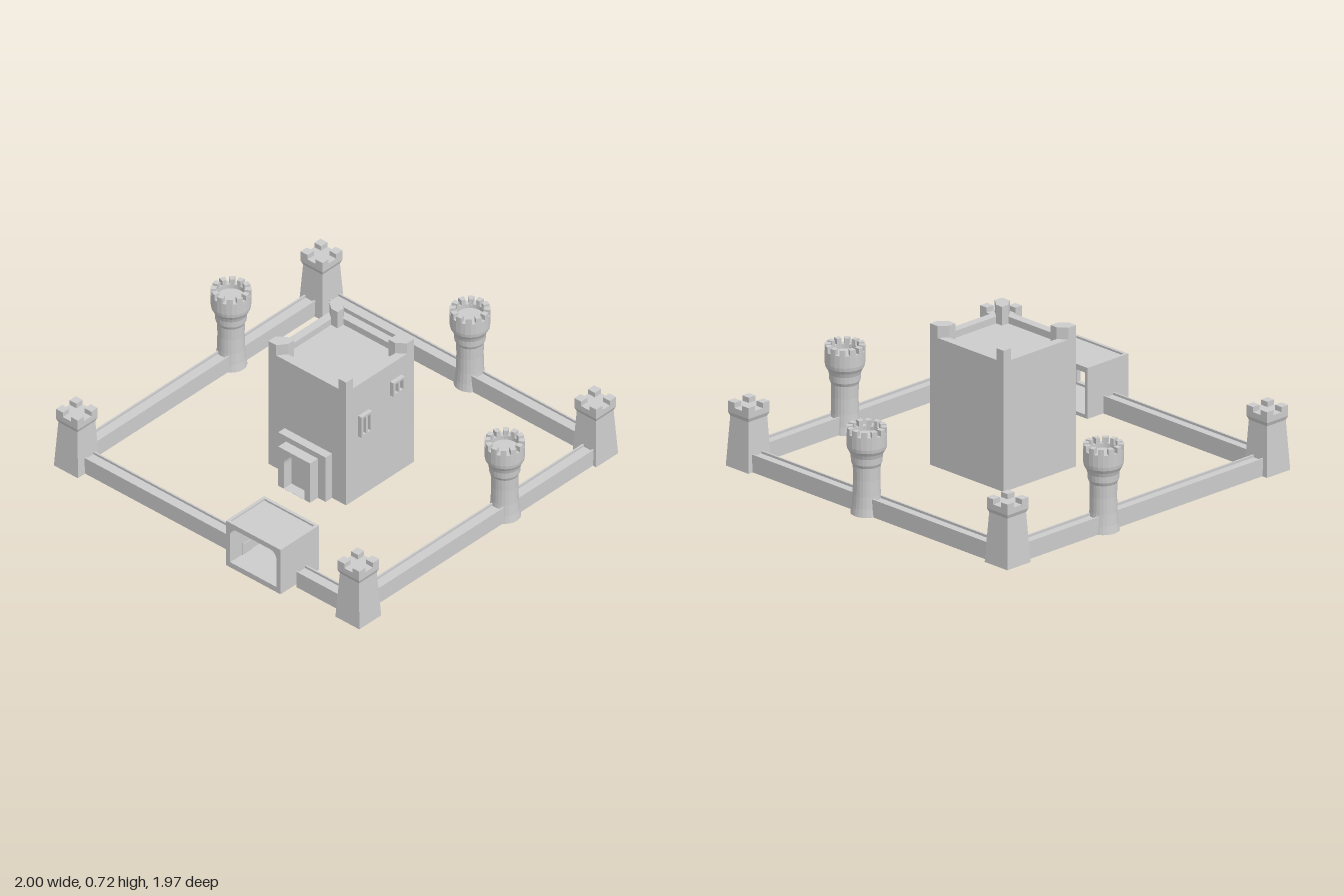
import * as THREE from 'three';

const mat = new THREE.MeshStandardMaterial({ color: 0xcccccc, flatShading: true, side: THREE.DoubleSide });

function add(parent, name, geo) {
  const m = new THREE.Mesh(geo, mat);
  m.name = name;
  parent.add(m);
  return m;
}

// box given by its min and max on each axis
function box(parent, name, x0, x1, y0, y1, z0, z1) {
  const m = add(parent, name, new THREE.BoxGeometry(x1 - x0, y1 - y0, z1 - z0));
  m.position.set((x0 + x1) / 2, (y0 + y1) / 2, (z0 + z1) / 2);
  return m;
}

function polygon(points, Type = THREE.Shape) {
  return new Type(points.map(([x, y]) => new THREE.Vector2(x, y)));
}

function rect(x0, x1, y0, y1, Type) {
  return polygon([[x0, y0], [x1, y0], [x1, y1], [x0, y1]], Type);
}

function extrude(shape, depth) {
  return new THREE.ExtrudeGeometry(shape, { depth, bevelEnabled: false, curveSegments: 8 });
}

// horizontal rectangular rim
function rim(parent, name, x0, x1, z0, z1, y0, y1, t) {
  const s = rect(x0, x1, -z1, -z0);
  s.holes.push(rect(x0 + t, x1 - t, -z1 + t, -z0 - t, THREE.Path));
  const m = add(parent, name, extrude(s, y1 - y0).rotateX(-Math.PI / 2));
  m.position.y = y0;
}

// low wall: a walkway between two thin parapets
function wall(parent, name, length, x, z, turned) {
  const w = 0.036, t = 0.009, h = 0.09, floor = 0.078;
  const s = polygon([[-w, 0], [w, 0], [w, h], [w - t, h], [w - t, floor], [-w + t, floor], [-w + t, h], [-w, h]]);
  const m = add(parent, name, extrude(s, length).translate(0, 0, -length / 2));
  m.position.set(x, 0, z);
  if (turned) m.rotation.y = Math.PI / 2;
}

function frustum(halfTop, halfBottom, h, y) {
  return new THREE.CylinderGeometry(halfTop * Math.SQRT2, halfBottom * Math.SQRT2, h, 4)
    .rotateY(Math.PI / 4).translate(0, y + h / 2, 0);
}

// tapered square tower with four corner merlons
function squareTower(parent, x, z) {
  const g = new THREE.Group();
  g.name = 'cornerTower';
  g.position.set(x, 0, z);
  add(g, 'towerBody', frustum(0.062, 0.077, 0.255, 0));
  add(g, 'towerFlare', frustum(0.07, 0.062, 0.02, 0.255));
  add(g, 'towerCrown', frustum(0.07, 0.07, 0.03, 0.275));
  for (const sx of [-1, 1]) for (const sz of [-1, 1]) {
    const m = add(g, 'merlon', new THREE.BoxGeometry(0.044, 0.03, 0.044));
    m.position.set(sx * 0.048, 0.316, sz * 0.048);
  }
  parent.add(g);
}

// round tower with a flared, crenellated head
function roundTower(parent, x, z) {
  const g = new THREE.Group();
  g.name = 'roundTower';
  g.position.set(x, 0, z);
  const profile = [[0, 0], [0.078, 0], [0.072, 0.04], [0.067, 0.1], [0.065, 0.18], [0.067, 0.245], [0.075, 0.262],
    [0.077, 0.295], [0.084, 0.315], [0.094, 0.332], [0.097, 0.35], [0.097, 0.412], [0.068, 0.412], [0.068, 0.39], [0, 0.39]];
  add(g, 'towerBody', new THREE.LatheGeometry(profile.map(p => new THREE.Vector2(...p)), 24));
  const n = 12, step = Math.PI * 2 / n;
  for (let i = 0; i < n; i++) {
    const s = new THREE.Shape();
    s.absarc(0, 0, 0.097, 0, step * 0.6, false);
    s.absarc(0, 0, 0.068, step * 0.6, 0, true);
    const geo = new THREE.ExtrudeGeometry(s, { depth: 0.03, bevelEnabled: false, curveSegments: 2 });
    const m = add(g, 'merlon', geo.rotateX(-Math.PI / 2).rotateY(i * step));
    m.position.y = 0.411;
  }
  parent.add(g);
}

function buildKeep(parent) {
  const g = new THREE.Group();
  g.name = 'keep';
  box(g, 'keepBody', -0.225, 0.275, 0, 0.625, -0.24, 0.24);
  rim(g, 'parapet', -0.225, 0.275, -0.24, 0.24, 0.625, 0.66, 0.045);

  // corner posts with slanted flanks
  const post = polygon([[0, 0], [0.05, 0], [0.086, 0.045], [0.086, 0.086], [0.045, 0.086], [0, 0.05]]);
  const postGeo = extrude(post, 0.095).rotateX(-Math.PI / 2);
  [[-0.225, 0.24], [0.275, 0.24], [0.275, -0.24], [-0.225, -0.24]].forEach(([x, z], i) => {
    const m = add(g, 'cornerPost', postGeo);
    m.position.set(x, 0.625, z);
    m.rotation.y = i * Math.PI / 2;
  });

  // stepped entrance with an arched doorway
  box(g, 'entranceBack', -0.12, 0.185, 0, 0.26, 0.24, 0.285);
  const porch = rect(-0.07, 0.135, 0, 0.23);
  const arch = new THREE.Path();
  arch.moveTo(-0.034, 0.001);
  arch.lineTo(-0.034, 0.142);
  arch.absarc(0.033, 0.142, 0.067, Math.PI, 0, true);
  arch.lineTo(0.1, 0.001);
  porch.holes.push(arch);
  add(g, 'entrancePorch', extrude(porch, 0.055)).position.z = 0.285;

  // framed windows on one side, each with a mullion
  for (const [z0, z1, y0, y1] of [[0.08, 0.155, 0.36, 0.48], [-0.15, -0.07, 0.48, 0.56]]) {
    const s = rect(-z1, -z0, y0, y1);
    const mid = -(z0 + z1) / 2, b = 0.012;
    s.holes.push(rect(-z1 + b, mid - 0.006, y0 + b, y1 - b, THREE.Path));
    s.holes.push(rect(mid + 0.006, -z0 - b, y0 + b, y1 - b, THREE.Path));
    add(g, 'windowFrame', extrude(s, 0.024).rotateY(Math.PI / 2)).position.x = 0.274;
  }
  parent.add(g);
}

function buildGatehouse(parent) {
  const g = new THREE.Group();
  g.name = 'gatehouse';
  const x0 = 0.178, x1 = 0.53, z0 = 0.71, z1 = 0.98, t = 0.018;
  // open tunnel behind a front plate
  const ring = rect(x0, x1, 0, 0.25);
  ring.holes.push(rect(x0 + t, x1 - t, t, 0.25 - t, THREE.Path));
  add(g, 'gateTunnel', extrude(ring, z1 - z0 - 0.025)).position.z = z0;
  const plate = rect(x0, x1, 0, 0.25);
  const r = 0.04, a = x0 + 0.027, b = x1 - 0.027, top = 0.232;
  const hole = new THREE.Path();
  hole.moveTo(a, 0.03);
  hole.lineTo(b, 0.03);
  hole.lineTo(b, top - r);
  hole.absarc(b - r, top - r, r, 0, Math.PI / 2, false);
  hole.lineTo(a + r, top);
  hole.absarc(a + r, top - r, r, Math.PI / 2, Math.PI, false);
  plate.holes.push(hole);
  add(g, 'gateFront', extrude(plate, 0.025)).position.z = z1 - 0.025;
  rim(g, 'gateRoofRim', x0, x1, z0, z1, 0.25, 0.26, 0.016);
  parent.add(g);
}

export function createModel() {
  const castle = new THREE.Group();
  castle.name = 'castle';

  buildKeep(castle);
  buildGatehouse(castle);

  // curtain walls
  wall(castle, 'leftWall', 1.62, 0.888, 0, false);
  wall(castle, 'rightWall', 1.62, -0.9, 0, false);
  wall(castle, 'backWall', 1.66, 0, -0.878, true);
  wall(castle, 'frontWallLong', 1.04, -0.32, 0.85, true);
  wall(castle, 'frontWallShort', 0.34, 0.715, 0.85, true);

  for (const [x, z] of [[-0.89, -0.863], [0.868, -0.865], [-0.89, 0.86], [0.92, 0.86]]) squareTower(castle, x, z);
  for (const [x, z] of [[-0.903, -0.24], [0.88, -0.215], [0.042, -0.888]]) roundTower(castle, x, z);
  return castle;
}
